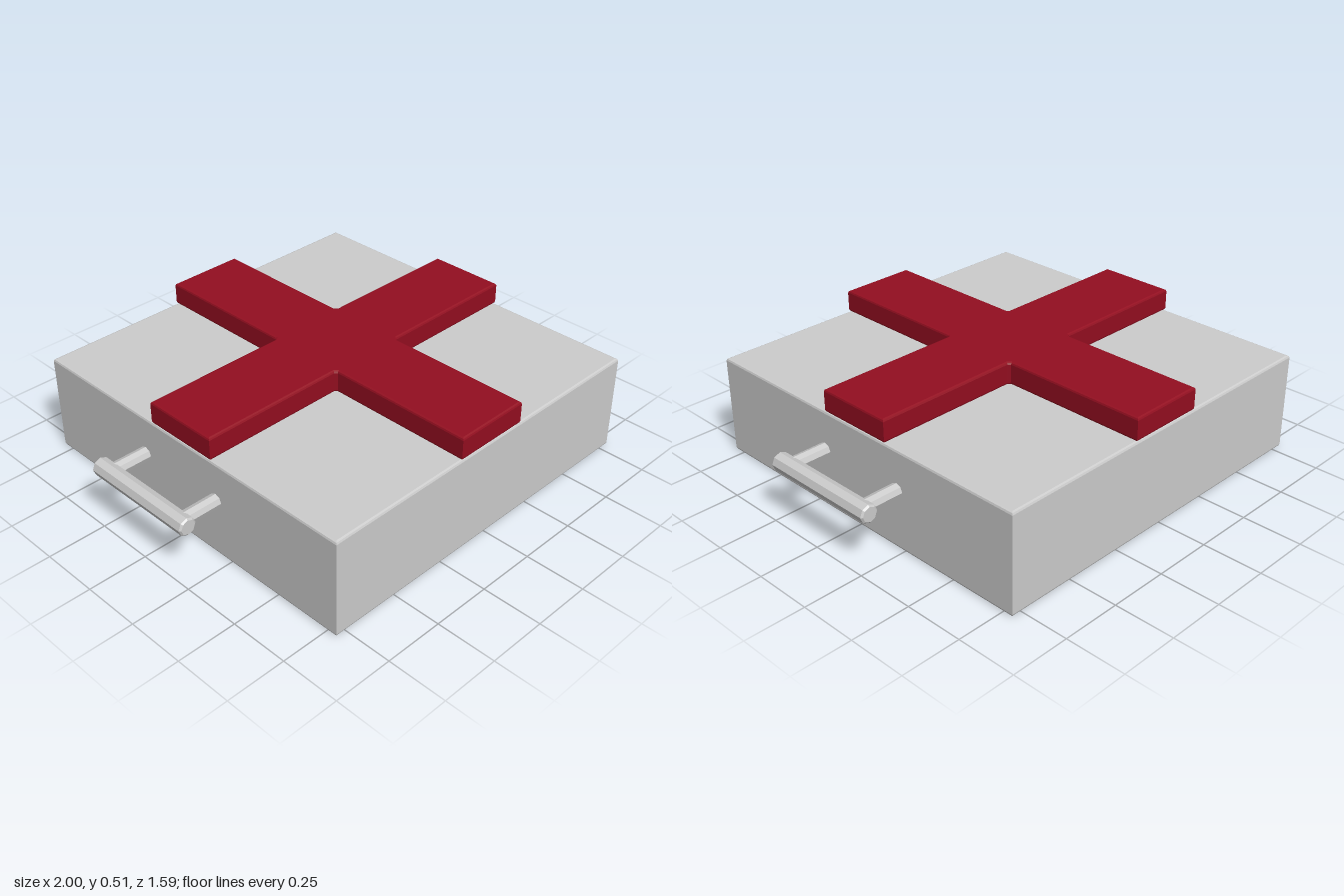
import * as THREE from 'three';

const grey = new THREE.MeshStandardMaterial({ color: 0xcccccc });
const greyFlat = new THREE.MeshStandardMaterial({ color: 0xcccccc, flatShading: true });
const red = new THREE.MeshStandardMaterial({ color: 0x930e20 });

function addMesh(parent, name, geometry, material) {
  const mesh = new THREE.Mesh(geometry, material);
  mesh.name = name;
  parent.add(mesh);
  return mesh;
}

// Flat slab with softened edges: outline in x/z, from y0 to y1
function slab(points, y0, y1, bevel) {
  const shape = new THREE.Shape(points.map(([x, z]) => new THREE.Vector2(x, z)));
  const geometry = new THREE.ExtrudeGeometry(shape, {
    depth: y1 - y0 - 2 * bevel, bevelThickness: bevel, bevelSize: bevel,
    bevelOffset: -bevel, bevelSegments: 2,
  });
  return geometry.rotateX(-Math.PI / 2).translate(0, y0 + bevel, 0);
}

// Eight-sided rod along y with chamfered ends
function rod(radius, length, bevel) {
  const h = length / 2;
  const profile = [[0, -h], [radius - bevel, -h], [radius, -h + bevel],
    [radius, h - bevel], [radius - bevel, h], [0, h]];
  return new THREE.LatheGeometry(profile.map(([r, y]) => new THREE.Vector2(r, y)), 8);
}

export function createModel() {
  const model = new THREE.Group();
  model.name = 'crossTopCase';

  // Case body
  const s = 0.795;
  addMesh(model, 'caseBody', slab([[-s, -s], [s, -s], [s, s], [-s, s]], 0, 0.42, 0.01), grey);

  // Raised cross on the lid, arms flush with the case sides
  const a = 0.165, c = 0.01;
  const quarter = [[s, -a], [s, a], [a + c, a], [a, a + c]];
  const outline = [];
  for (let i = 0; i < 4; i++) {
    for (const [x, z] of quarter) {
      outline.push([[x, z], [-z, x], [-x, -z], [z, -x]][i]);
    }
  }
  addMesh(model, 'cross', slab(outline, 0.42, 0.515, 0.009), red);

  // Carrying handles: a bar on two posts at each side
  for (const side of [1, -1]) {
    const handle = new THREE.Group();
    handle.name = side > 0 ? 'leftHandle' : 'rightHandle';
    const bar = addMesh(handle, 'handleBar', rod(0.038, 0.515, 0.007).rotateX(Math.PI / 2), greyFlat);
    bar.position.set(side * 0.962, 0.251, side > 0 ? -0.015 : -0.029);
    for (const z of [-0.222, 0.182]) {
      const post = addMesh(handle, 'handlePost', rod(0.029, 0.18, 0.005).rotateZ(Math.PI / 2), greyFlat);
      post.position.set(side * 0.87, 0.253, z);
    }
    model.add(handle);
  }
  return model;
}
